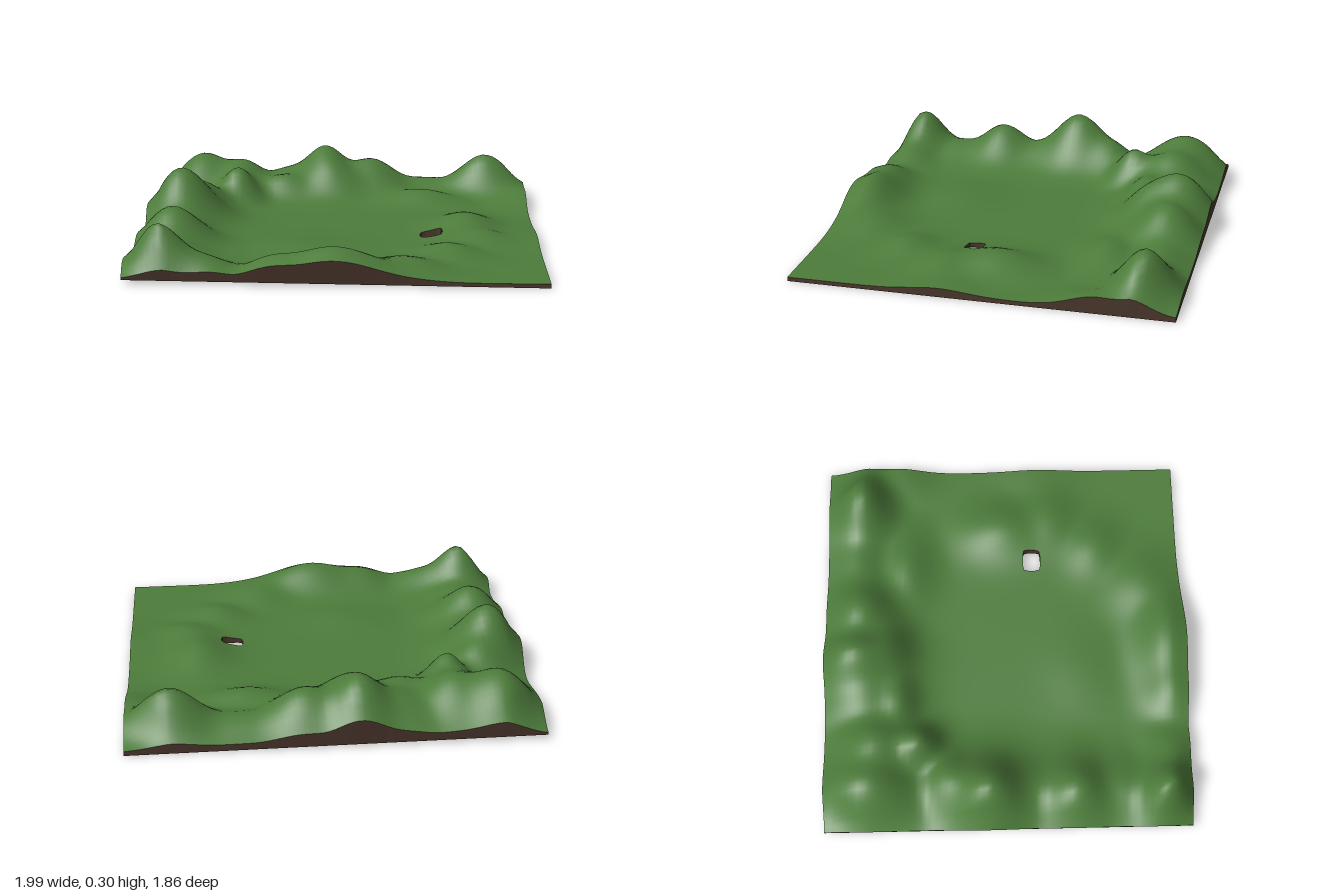
import * as THREE from 'three';
import { mergeVertices } from 'three/addons/utils/BufferGeometryUtils.js';

const X0 = -0.97, X1 = 0.99, Z0 = -0.92, Z1 = 0.91;
const NX = 71, NZ = 61;
const HOLE = { i0: 50, i1: 54, j0: 34, j1: 37 };

// Hills: x, z, height, spread in x, spread in z
const HILLS = [
  // left row, with the saddles between its hills
  [-0.82, 0.8, 0.24, 0.12, 0.105],
  [-0.78, 0.57, 0.085, 0.12, 0.1],
  [-0.81, 0.33, 0.19, 0.13, 0.125],
  [-0.78, 0.12, 0.09, 0.12, 0.1],
  [-0.82, -0.1, 0.282, 0.14, 0.14],
  [-0.74, -0.3, 0.15, 0.12, 0.1],
  [-0.77, -0.7, 0.22, 0.14, 0.17],
  // back row, ending in a steep bank towards the valley
  [-0.55, -0.66, 0.19, 0.12, 0.15],
  [-0.56, -0.45, 0.19, 0.085, 0.085],
  [-0.3, -0.72, 0.135, 0.13, 0.16],
  [-0.32, -0.55, 0.12, 0.13, 0.07],
  [-0.1, -0.76, 0.255, 0.12, 0.16],
  [-0.04, -0.6, 0.14, 0.13, 0.09],
  [0.15, -0.74, 0.19, 0.14, 0.13],
  [0.45, -0.76, 0.08, 0.18, 0.1],
  [0.78, -0.74, 0.22, 0.14, 0.1],
  [0.42, -0.51, 0.075, 0.16, 0.09],
  [0.98, -0.56, 0.065, 0.12, 0.12],
  // front ridge
  [0.0, 0.83, 0.14, 0.2, 0.1],
  [-0.27, 0.84, 0.09, 0.12, 0.09],
  [-0.62, 0.82, 0.09, 0.12, 0.1],
  [0.32, 0.72, 0.06, 0.13, 0.11],
  // low rise on the right
  [0.64, 0.0, 0.08, 0.11, 0.15],
  [0.7, 0.24, 0.06, 0.12, 0.1],
  [0.54, 0.47, 0.055, 0.11, 0.1],
  [0.95, 0.18, 0.025, 0.15, 0.13],
  // gentle swell of the valley floor
  [-0.15, 0.38, 0.02, 0.15, 0.12],
];

const baseY = (x) => 0.02 * (X1 - x) / (X1 - X0);

// Smooth blend of all hills over the tilted floor, dropping off at the rims
function surfaceY(x, z) {
  let sum = 0;
  for (const [cx, cz, h, sx, sz] of HILLS) {
    const g = h * Math.exp(-0.5 * (((x - cx) / sx) ** 2 + ((z - cz) / sz) ** 2));
    sum += g ** 2.4;
  }
  const corner = Math.max(0, 1 - 5 * Math.hypot(Math.abs(x) - 0.98, Math.abs(z) - 0.915));
  const leftDrop = 0.42 * Math.exp((X0 - x) / 0.04);
  const backDrop = 0.25 * Math.exp((Z0 - z) / 0.03);
  const frontDrop = 0.65 * Math.exp((z - Z1) / 0.035) * (1 - THREE.MathUtils.smoothstep(x, -0.75, -0.4));
  const scale = (1 - 0.75 * corner) * (1 - leftDrop) * (1 - backDrop) * (1 - frontDrop);
  return 0.02 + 0.35 * baseY(x) + sum ** (1 / 2.4) * scale;
}

// Grid point on the top surface or on the underside
function gridPoint(i, j, top) {
  let x = X0 + (X1 - X0) * i / NX, z = Z0 + (Z1 - Z0) * j / NZ;
  // round the corners of the opening
  if ((i === HOLE.i0 || i === HOLE.i1) && (j === HOLE.j0 || j === HOLE.j1)) {
    x += i === HOLE.i0 ? 0.006 : -0.006;
    z += j === HOLE.j0 ? 0.006 : -0.006;
  }
  if (!top) return [x, baseY(x), z];
  const y = surfaceY(x, z);
  // hills lean out a little over the rim
  const lean = 0.2 * Math.max(0, y - 0.03);
  if (i === 0) x -= 1.4 * lean;
  if (i === NX) x += 0.3 * lean;
  if (j === 0) z -= 0.5 * lean;
  if (j === NZ) z += lean;
  return [x, y, z];
}

const solid = (i, j) => i >= 0 && j >= 0 && i < NX && j < NZ &&
  !(i >= HOLE.i0 && i < HOLE.i1 && j >= HOLE.j0 && j < HOLE.j1);

function buildMesh(name, positions, color, smooth) {
  let geometry = new THREE.BufferGeometry();
  geometry.setAttribute('position', new THREE.Float32BufferAttribute(positions, 3));
  if (smooth) geometry = mergeVertices(geometry, 1e-5);
  geometry.computeVertexNormals();
  const mesh = new THREE.Mesh(geometry, new THREE.MeshStandardMaterial({ color }));
  mesh.name = name;
  return mesh;
}

export function createModel() {
  const grass = [], walls = [], underside = [];
  const quad = (out, a, b, c, d) => out.push(...a, ...b, ...c, ...a, ...c, ...d);

  for (let i = 0; i < NX; i++) {
    for (let j = 0; j < NZ; j++) {
      if (!solid(i, j)) continue;
      const ring = [[i, j], [i, j + 1], [i + 1, j + 1], [i + 1, j]];
      const t = ring.map(([u, v]) => gridPoint(u, v, true));
      const b = ring.map(([u, v]) => gridPoint(u, v, false));
      quad(grass, ...t);
      quad(underside, b[3], b[2], b[1], b[0]);
      // earth walls around the rim and the opening
      [[i - 1, j], [i, j + 1], [i + 1, j], [i, j - 1]].forEach(([u, v], k) => {
        const n = (k + 1) % 4;
        if (!solid(u, v)) quad(walls, b[k], b[n], t[n], t[k]);
      });
    }
  }

  const group = new THREE.Group();
  group.name = 'hillyTerrain';
  group.add(
    buildMesh('grassSurface', grass, 0x4d7c3b, true),
    buildMesh('earthSides', walls, 0x4d392e, false),
    buildMesh('earthUnderside', underside, 0x4d392e, false),
  );
  return group;
}
